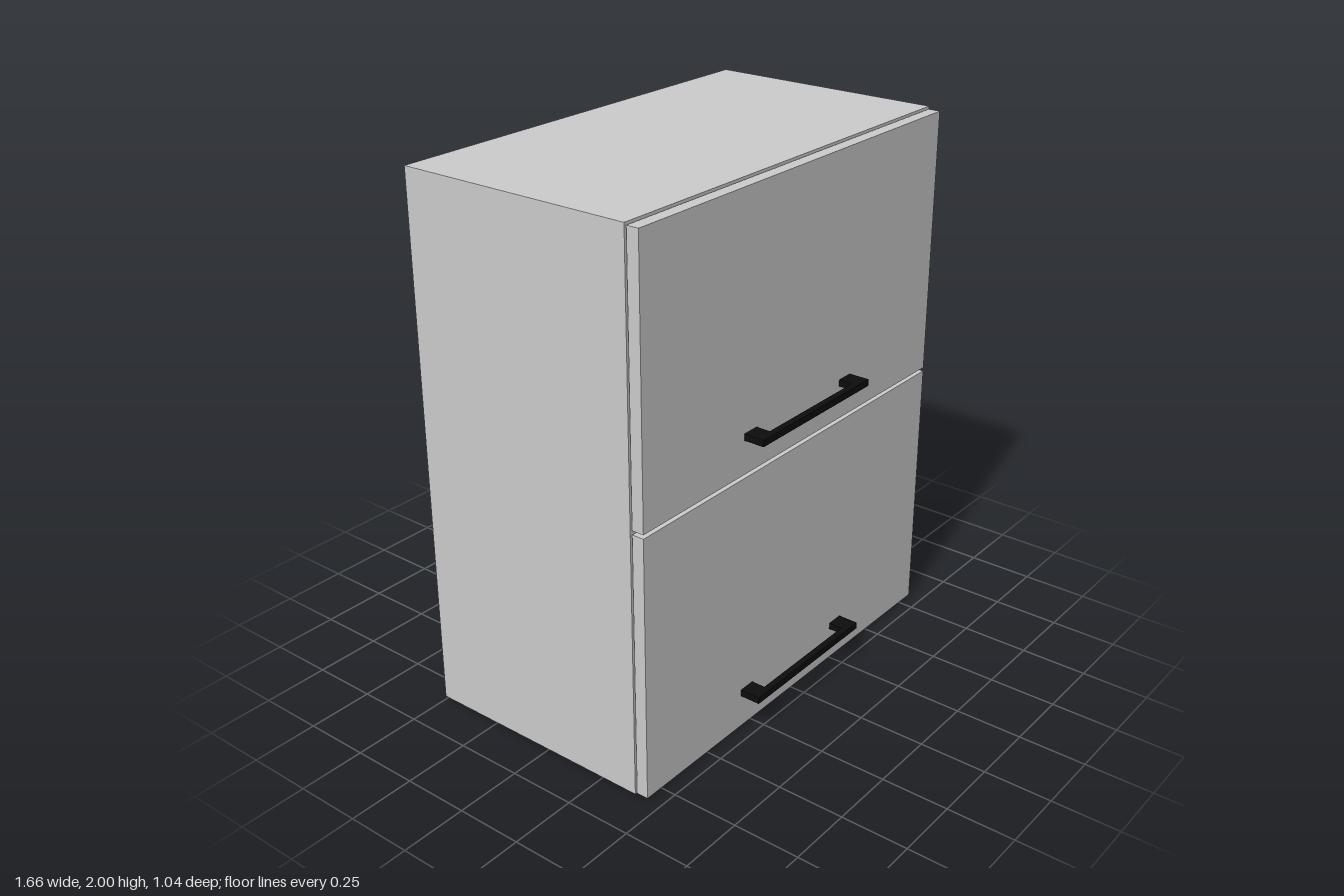
import * as THREE from 'three';

const grey = new THREE.MeshStandardMaterial({ color: 0xcccccc });
const black = new THREE.MeshStandardMaterial({ color: 0x0d0d0d });

// Box given by its lower and upper corners
function panel(name, [x0, y0, z0], [x1, y1, z1]) {
  const mesh = new THREE.Mesh(new THREE.BoxGeometry(x1 - x0, y1 - y0, z1 - z0), grey);
  mesh.position.set((x0 + x1) / 2, (y0 + y1) / 2, (z0 + z1) / 2);
  mesh.name = name;
  return mesh;
}

// Flat U-shaped pull: two wide feet joined by a thin bar
function handle(name, y) {
  const outline = [
    [-0.31, 0], [-0.31, 0.078], [0.31, 0.078], [0.31, 0],
    [0.243, 0], [0.243, 0.053], [-0.243, 0.053], [-0.243, 0],
  ].map(([x, z]) => new THREE.Vector2(x, z));
  const geometry = new THREE.ExtrudeGeometry(new THREE.Shape(outline), { depth: 0.025, bevelEnabled: false });
  geometry.rotateX(Math.PI / 2); // outline depth becomes +z, thickness goes down
  const mesh = new THREE.Mesh(geometry, black);
  mesh.position.set(0, y + 0.025, 0.442);
  mesh.name = name;
  return mesh;
}

export function createModel() {
  const model = new THREE.Group();
  model.name = 'cabinet';

  // Carcass
  const W = 0.83, T = 0.026, BACK = -0.514, FRONT = 0.394;
  const carcass = new THREE.Group();
  carcass.name = 'carcass';
  carcass.add(
    panel('leftSide', [W - T, 0, BACK], [W, 2, FRONT]),
    panel('rightSide', [-W, 0, BACK], [-W + T, 2, FRONT]),
    panel('bottomPanel', [-W + T, 0, BACK], [W - T, T, FRONT]),
    panel('topPanel', [-W + T, 2 - T, BACK], [W - T, 2, FRONT]),
    panel('middleShelf', [-W + T, 0.98, BACK], [W - T, 1.015, FRONT]),
    panel('backPanel', [-W + 0.005, 0.005, -0.52], [W - 0.005, 1.992, BACK]),
  );
  model.add(carcass);

  // Two fronts with their handles
  [['lower', 0.002, 0.99, 0.13], ['upper', 1.004, 1.991, 1.13]].forEach(([level, y0, y1, yHandle]) => {
    const front = new THREE.Group();
    front.name = level + 'Front';
    front.add(
      panel(level + 'Door', [-0.824, y0, 0.397], [0.824, y1, 0.442]),
      handle(level + 'Handle', yHandle),
    );
    model.add(front);
  });

  return model;
}
